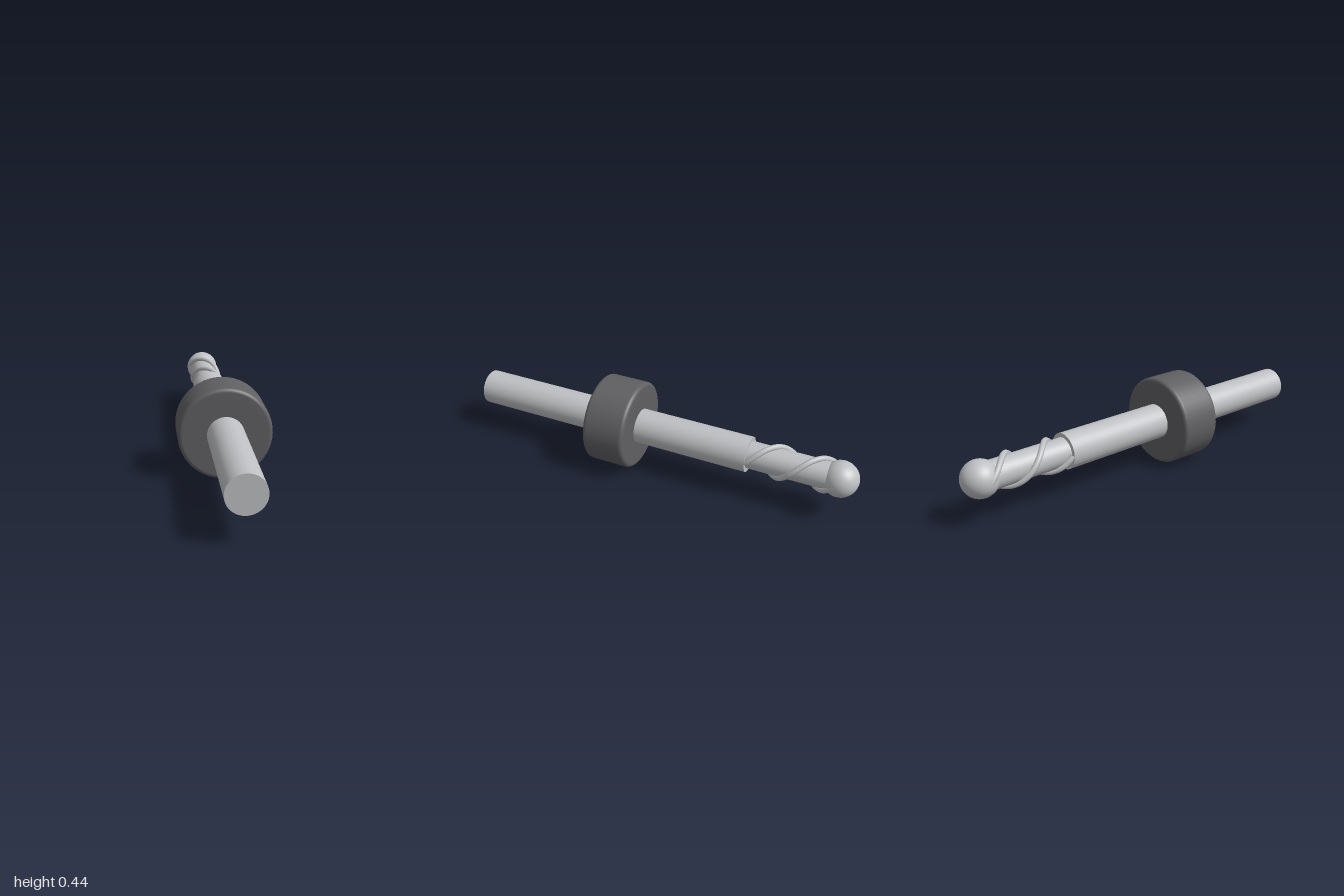
import * as THREE from 'three';

const R = 0.088;          // shank and ball radius
const AXIS_Y = 0.2225;    // height of the tool axis
const FLUTE_START = -0.47, FLUTE_END = -0.9;

// Spiral edge wound once around the core
class Helix extends THREE.Curve {
  constructor(radius, phase) {
    super();
    this.radius = radius;
    this.phase = phase;
  }
  getPoint(t, target = new THREE.Vector3()) {
    const a = this.phase + t * Math.PI * 2;
    return target.set(
      Math.cos(a) * this.radius,
      Math.sin(a) * this.radius,
      THREE.MathUtils.lerp(FLUTE_START, FLUTE_END, t)
    );
  }
}

export function createModel() {
  const steel = new THREE.MeshStandardMaterial({ color: 0xbfc0c3 });
  steel.name = 'steel';
  const darkPlastic = new THREE.MeshStandardMaterial({ color: 0x606063 });
  darkPlastic.name = 'darkPlastic';

  const tool = new THREE.Group();
  tool.name = 'ballEndMill';
  tool.position.y = AXIS_Y;

  const add = (name, geometry, material) => {
    const mesh = new THREE.Mesh(geometry, material);
    mesh.name = name;
    tool.add(mesh);
    return mesh;
  };
  // Cylinder along z between two depths
  const rod = (radius, z0, z1) =>
    new THREE.CylinderGeometry(radius, radius, z1 - z0, 48)
      .rotateX(Math.PI / 2)
      .translate(0, 0, (z0 + z1) / 2);

  // Shank, core and ball tip
  add('shank', rod(R, FLUTE_START, 1), steel);
  add('core', rod(0.068, -0.91, FLUTE_START), steel);
  add('ballTip', new THREE.SphereGeometry(R, 48, 32).translate(0, 0, -1 + R), steel);

  // Two opposed spiral cutting edges with rounded-off ends
  [0, Math.PI].forEach((phase, i) => {
    const path = new Helix(0.074, phase);
    add('cuttingEdge' + (i + 1), new THREE.TubeGeometry(path, 96, 0.014, 12), steel);
    const end = path.getPoint(1);
    add('edgeEnd' + (i + 1), new THREE.SphereGeometry(0.014, 12, 8).translate(end.x, end.y, end.z), steel);
  });

  // Collar: rounded ring around the shank
  const r = 0.2225, half = 0.11, f = 0.02;
  const profile = [new THREE.Vector2(R - 0.01, -half), new THREE.Vector2((R + r) / 2, -half)];
  for (const side of [-1, 1]) {
    for (let i = 0; i <= 6; i++) {
      const a = (side < 0 ? i - 6 : i) / 6 * Math.PI / 2;
      profile.push(new THREE.Vector2(r - f + Math.cos(a) * f, side * (half - f) + Math.sin(a) * f));
    }
  }
  profile.push(new THREE.Vector2((R + r) / 2, half), new THREE.Vector2(R - 0.01, half));
  add('collar', new THREE.LatheGeometry(profile, 48).rotateX(Math.PI / 2).translate(0, 0, 0.22), darkPlastic);

  const model = new THREE.Group();
  model.name = 'model';
  model.add(tool);
  return model;
}
